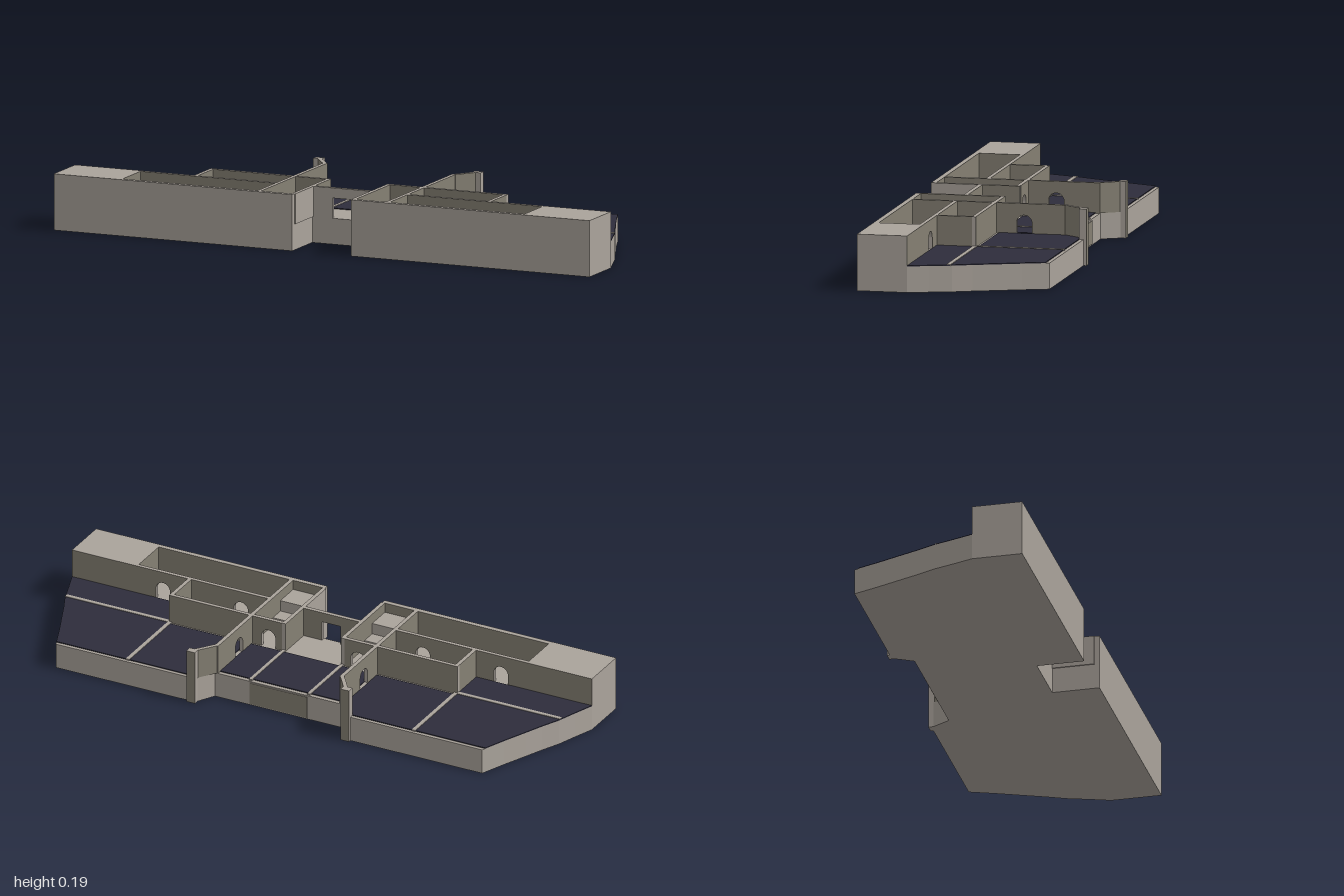
import * as THREE from 'three';

const mat = (name, color) => Object.assign(new THREE.MeshStandardMaterial({ color }), { name });

export function createModel() {
  const root = new THREE.Group();
  const stone = mat('pale stone', 0xaaa39b);
  const plaster = mat('olive plaster', 0x858073);
  const navy = mat('navy flooring', 0x2e2d3c);
  const FLOOR = 0.09, TOP = 0.195;

  const add = (name, geo, material) => {
    const m = new THREE.Mesh(geo, material);
    m.name = name;
    root.add(m);
    return m;
  };

  // Box between limits; inner lists plastered faces (+x 0, -x 1, +z 4, -z 5)
  const block = (name, x0, x1, y0, y1, z0, z1, inner = [], material = stone) => {
    const geo = new THREE.BoxGeometry(Math.abs(x1 - x0), y1 - y0, z1 - z0);
    geo.translate((x0 + x1) / 2, (y0 + y1) / 2, (z0 + z1) / 2);
    const faces = [0, 1, 2, 3, 4, 5].map(i => (inner.includes(i) ? plaster : material));
    return add(name, geo, inner.length ? faces : material);
  };

  // Horizontal plate from [x, z] outline
  const plate = (name, pts, y, h, material) => {
    const shape = new THREE.Shape(pts.map(([x, z]) => new THREE.Vector2(x, -z)));
    const geo = new THREE.ExtrudeGeometry(shape, { depth: h, bevelEnabled: false });
    geo.rotateX(-Math.PI / 2).translate(0, y, 0);
    return add(name, geo, material);
  };

  // Plastered wall with stone edges; doors are distances along it
  const wall = (name, [x0, z0], [x1, z1], doors = [], t = 0.014) => {
    const L = Math.hypot(x1 - x0, z1 - z0), h = TOP - FLOOR, r = 0.027, spring = 0.038;
    const s = new THREE.Shape();
    s.moveTo(0, 0);
    for (const d of doors) {
      s.lineTo(d - r, 0);
      s.lineTo(d - r, spring);
      s.absarc(d, spring, r, Math.PI, 0, true);
      s.lineTo(d + r, 0);
    }
    s.lineTo(L, 0);
    s.lineTo(L, h);
    s.lineTo(0, h);
    const geo = new THREE.ExtrudeGeometry(s, { depth: t, bevelEnabled: false, curveSegments: 14 });
    geo.translate(0, 0, -t / 2);
    geo.rotateY(Math.atan2(z0 - z1, x1 - x0));
    geo.translate(x0, FLOOR, z0);
    return add(name, geo, [plaster, stone]);
  };

  // Base slab with front notch, back recess and curved ends
  const end = [[1, 0.145], [0.975, 0.075], [0.95, 0], [0.92, -0.065], [0.893, -0.13], [0.855, -0.22], [0.82, -0.31]];
  const half = [[0.11, 0.155], [0.11, 0.32], [1, 0.32], ...end, [0.285, -0.31], [0.245, -0.24]];
  const mirrored = half.map(([x, z]) => [-x, z]).reverse();
  plate('baseSlab', [...half, ...mirrored], 0, FLOOR, stone);

  // Central floor, entrance and recess panel
  block('centreFlooring', -0.235, 0.235, FLOOR, FLOOR + 0.003, -0.225, 0, [], navy);
  block('entranceLintel', -0.11, 0.11, 0.16, TOP, 0.14, 0.155, [5]);
  block('recessPanel', -0.11, 0.11, 0.005, 0.085, -0.243, -0.239, [5]);

  for (const s of [1, -1]) {
    const side = s > 0 ? 'left' : 'right';
    const out = s > 0 ? 0 : 1, inn = 1 - out;
    const n = part => side + part;

    // Dark flooring and its flat stone divider strips
    plate(n('Flooring'), [[0.25, 0], [0.25, -0.235], [0.295, -0.297], [0.825, -0.297],
      ...end.slice(0, -1).reverse(), [0.55, 0.145], [0.55, 0]].map(([x, z]) => [s * x, z]), FLOOR, 0.003, navy);
    block(n('LongStrip'), s * 0.543, s * 0.557, FLOOR, 0.095, -0.3, 0.012);
    block(n('CrossStrip'), s * 0.55, s * 0.952, FLOOR, 0.095, 0.004, 0.019);
    block(n('CentreStrip'), s * 0.106, s * 0.118, FLOOR, 0.095, -0.235, 0.01);

    // Front wing: solid end, outer wall and notch wall
    block(n('WingEnd'), s * 0.75, s, FLOOR, TOP, 0.145, 0.32, [inn, 5]);
    block(n('FrontWall'), s * 0.11, s * 0.75, FLOOR, TOP, 0.302, 0.32, [5]);
    block(n('NotchWall'), s * 0.106, s * 0.12, FLOOR, TOP, 0.155, 0.302, [out]);
    block(n('EntranceJamb'), s * 0.035, s * 0.11, FLOOR, 0.16, 0.14, 0.155, [5]);

    // Interior walls with arched doors
    wall(n('WingBackWall'), [s * 0.247, 0.152], [s * 0.75, 0.152], [0.103, 0.403]);
    wall(n('HallWall'), [s * 0.113, 0.01], [s * 0.113, 0.155]);
    wall(n('TowerBackWall'), [s * 0.12, 0.016], [s * 0.233, 0.016], [0.052]);
    wall(n('LongWall'), [s * 0.24, -0.24], [s * 0.24, 0.302], [0.152]);
    wall(n('RoomBackWall'), [s * 0.247, 0.016], [s * 0.555, 0.016]);
    wall(n('RoomEndWall'), [s * 0.548, 0.023], [s * 0.548, 0.145]);
    wall(n('SplayedWall'), [s * 0.242, -0.235], [s * 0.293, -0.305]);
    block(n('Pillar'), s * 0.28, s * 0.313, 0, TOP, -0.32, -0.295, [5]);

    // Tower steps
    block(n('LowerStep'), s * 0.12, s * 0.233, FLOOR, 0.12, 0.155, 0.21);
    block(n('UpperStep'), s * 0.12, s * 0.233, FLOOR, 0.16, 0.21, 0.302);
  }
  return root;
}
